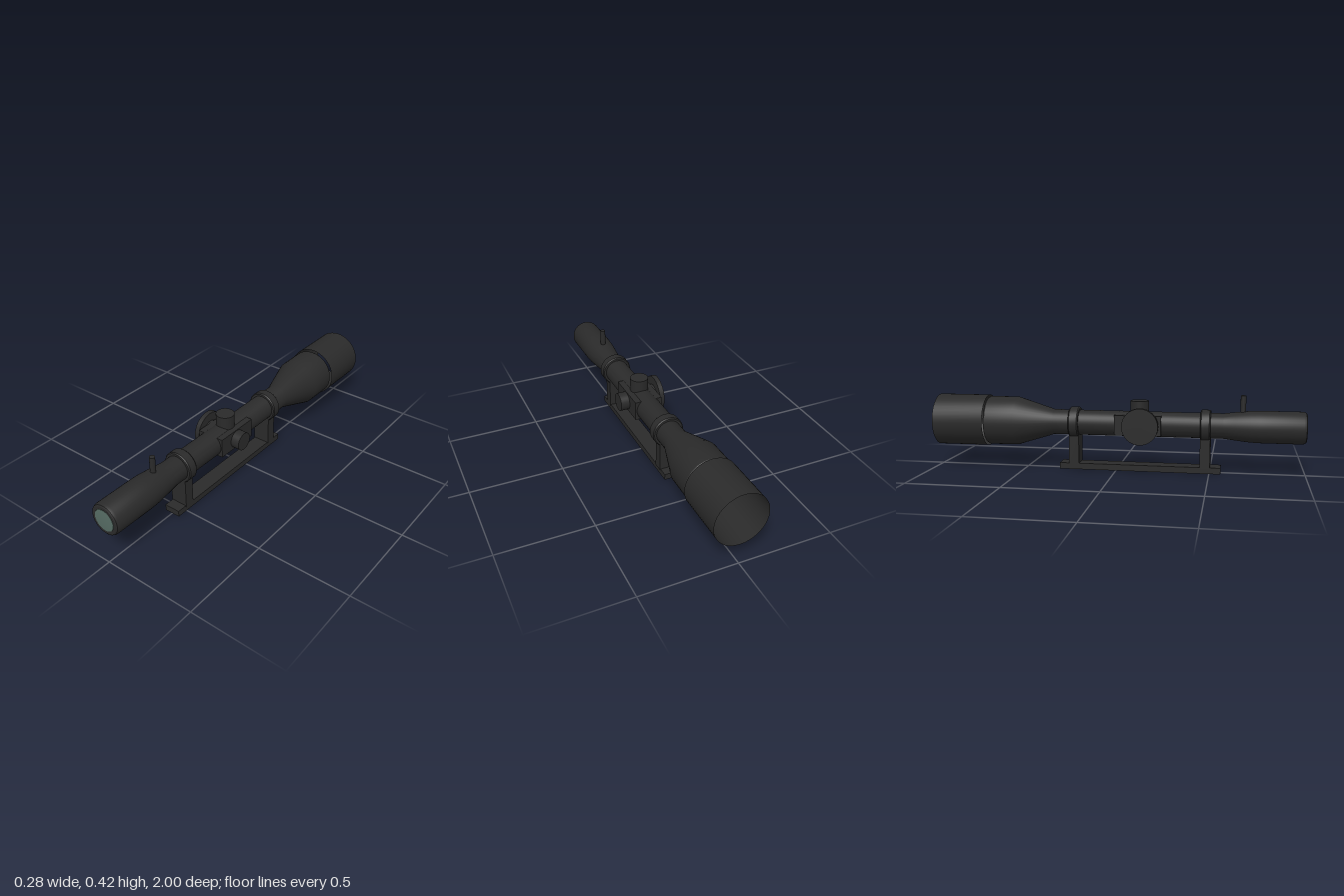
import * as THREE from 'three';
import { toCreasedNormals } from 'three/addons/utils/BufferGeometryUtils.js';

const AXIS = 0.253; // height of the optical axis

export function createModel() {
  const model = new THREE.Group();
  model.name = 'telescopicSight';
  const black = new THREE.MeshStandardMaterial({ color: 0x2a2a2a });
  black.name = 'matte black';
  const blackThin = new THREE.MeshStandardMaterial({ color: 0x2a2a2a, side: THREE.DoubleSide });
  blackThin.name = 'matte black thin';
  const glass = new THREE.MeshStandardMaterial({ color: 0x566c64 });
  glass.name = 'green glass';

  const add = (name, geometry, material, x, y, z) => {
    const mesh = new THREE.Mesh(geometry, material);
    mesh.name = name;
    mesh.position.set(x, y, z);
    model.add(mesh);
    return mesh;
  };

  // Turned part around the optical axis; profile is [radius, z] with rising z
  const turned = (name, profile, material = black, segments = 40) => {
    const points = profile.map(([r, z]) => new THREE.Vector2(r, z));
    const geometry = new THREE.LatheGeometry(points, segments).rotateX(Math.PI / 2);
    return add(name, toCreasedNormals(geometry, 0.5), material, 0, AXIS, 0);
  };

  // Main tube with objective bell, slim centre and eyepiece
  turned('mainTube', [
    [0, -0.69], [0.122, -0.69], [0.122, -0.715], [0.127, -0.715], [0.133, -0.705],
    [0.132, -0.55], [0.068, -0.345], [0.067, 0.57], [0.075, 0.635],
    [0.083, 0.71], [0.085, 0.76], [0.085, 0.98], [0.08, 0.993], [0.074, 0.997], [0, 0.997],
  ]);

  // Open sunshade in front of the bell
  turned('sunshade', [[0.14, -1], [0.14, -0.717]], blackThin);

  // Shallow domed lenses
  turned('eyepieceLens', [[0.061, 0.994], [0.058, 0.998], [0.04, 0.9995], [0, 1]], glass);
  turned('objectiveLens', [[0, -0.7], [0.06, -0.699], [0.12, -0.693]], glass);

  // Mounting rings with bevelled edges, each on a post
  for (const z of [0.477, -0.23]) {
    turned('mountRing', [
      [0.06, z - 0.027], [0.079, z - 0.027], [0.084, z - 0.021],
      [0.084, z + 0.021], [0.079, z + 0.027], [0.06, z + 0.027],
    ]);
    add('mountPost', new THREE.BoxGeometry(0.094, 0.17, 0.054), black, 0, 0.112, z);
  }
  add('mountRail', new THREE.BoxGeometry(0.088, 0.033, 0.87), black, 0, 0.0165, 0.125);

  // Turret block and its three controls
  add('turretBlock', new THREE.BoxGeometry(0.152, 0.106, 0.25), black, 0, AXIS, 0.12);

  const knob = (name, radius, length, x, y, z, sideways) => {
    const mesh = add(name, new THREE.CylinderGeometry(radius, radius, length, 32), black, x, y, z);
    if (sideways) mesh.rotation.z = Math.PI / 2;
  };
  knob('elevationTurret', 0.049, 0.1, 0, 0.329, 0.123, false);
  knob('windageTurret', 0.049, 0.07, 0.089, AXIS, 0.123, true);
  knob('focusStem', 0.05, 0.04, -0.08, AXIS, 0.137, true);
  knob('focusWheel', 0.097, 0.026, -0.103, AXIS, 0.137, true);

  // Upright peg on the eyepiece
  knob('zoomPeg', 0.0145, 0.11, 0, 0.362, 0.67, false);

  return model;
}
